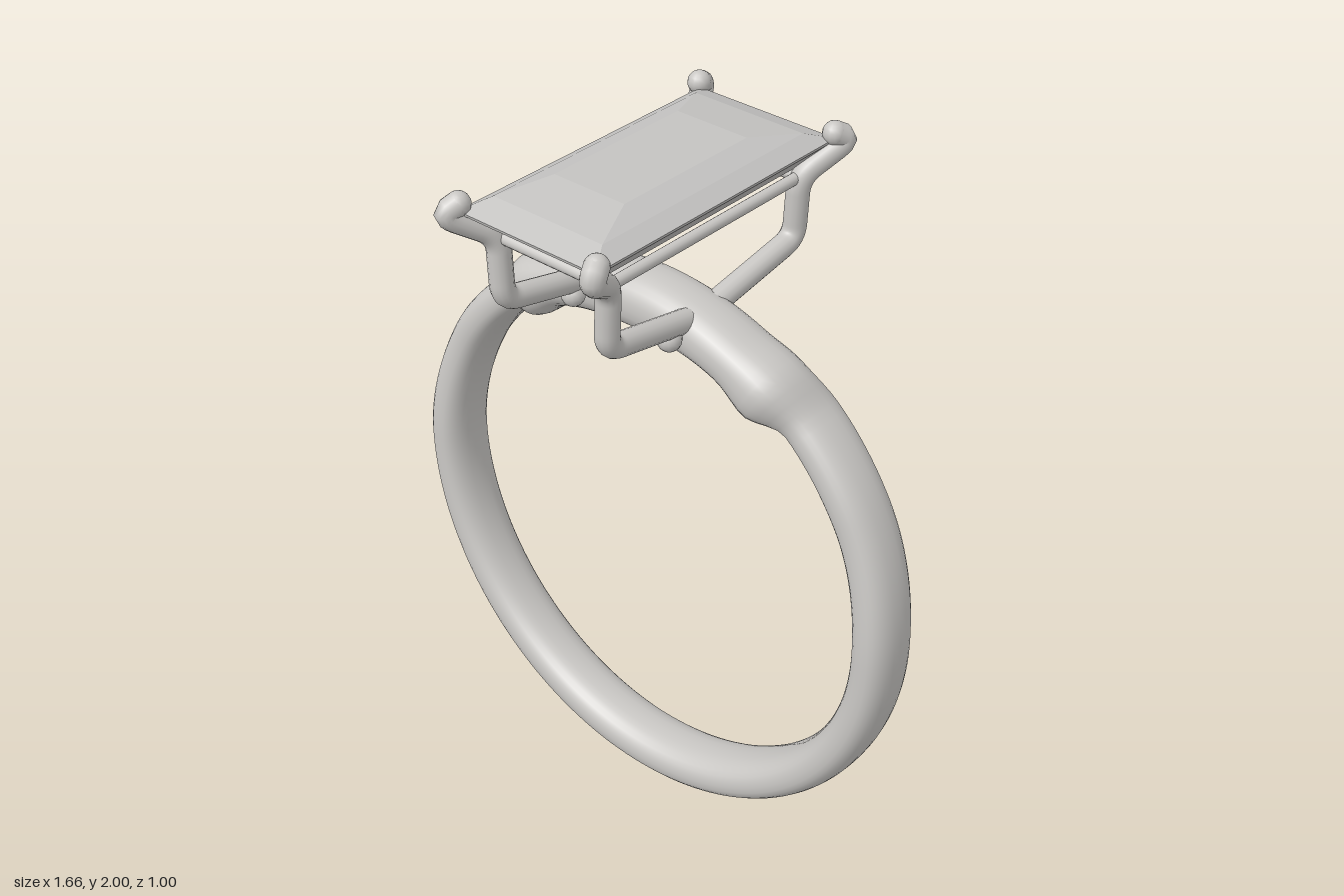
import * as THREE from 'three';

const metal = new THREE.MeshStandardMaterial({ color: 0xc9c7c4 });
metal.name = 'silver metal';
const stone = new THREE.MeshStandardMaterial({ color: 0xc4c3c1 });
stone.name = 'pale stone';

function addMesh(parent, name, geometry, material) {
  const mesh = new THREE.Mesh(geometry, material);
  mesh.name = name;
  parent.add(mesh);
  return mesh;
}

// Band: a rounded section swept round the finger hole.
// Each key: degrees from the top, inner radius, outer radius, back z, front z
const bandKeys = [
  [0, 0.68, 0.84, -0.092, 0.092],
  [22, 0.695, 0.836, -0.095, 0.095],
  [31, 0.675, 0.848, -0.105, 0.1],
  [40, 0.708, 0.82, -0.128, 0.048],
  [60, 0.71, 0.828, -0.118, 0.054],
  [90, 0.71, 0.83, -0.1, 0.076],
  [180, 0.71, 0.84, -0.088, 0.088],
];

function bandSection(deg) {
  let k = 0;
  while (k < bandKeys.length - 2 && deg > bandKeys[k + 1][0]) k++;
  const a = bandKeys[k], b = bandKeys[k + 1];
  const t = THREE.MathUtils.smoothstep(deg, a[0], b[0]);
  return a.map((v, i) => v + (b[i] - v) * t);
}

function bandGeometry() {
  const steps = 180, sides = 28, positions = [], index = [];
  const soft = (v) => Math.sign(v) * Math.abs(v) ** 0.85;
  for (let i = 0; i < steps; i++) {
    const angle = (i / steps) * Math.PI * 2;
    const deg = (i / steps) * 360;
    const [, rIn, rOut, back, front] = bandSection(Math.min(deg, 360 - deg));
    for (let j = 0; j < sides; j++) {
      const phi = (j / sides) * Math.PI * 2;
      const r = (rIn + rOut) / 2 + ((rOut - rIn) / 2) * soft(Math.cos(phi));
      const z = (back + front) / 2 + ((front - back) / 2) * soft(Math.sin(phi));
      positions.push(r * Math.sin(angle), 0.84 + r * Math.cos(angle), z);
      const a = i * sides + j, b = i * sides + ((j + 1) % sides);
      const c = ((i + 1) % steps) * sides + j, d = ((i + 1) % steps) * sides + ((j + 1) % sides);
      index.push(a, b, c, c, b, d);
    }
  }
  const g = new THREE.BufferGeometry();
  g.setAttribute('position', new THREE.Float32BufferAttribute(positions, 3));
  g.setIndex(index);
  g.computeVertexNormals();
  return g;
}

// Gem: nested rectangles from the table down to the point
function gemGeometry() {
  const rings = [ // half width x, half depth z, height
    [0, 0, 1.998], [0.112, 0.225, 1.998], [0.175, 0.37, 1.976], [0.222, 0.445, 1.95],
    [0.22, 0.443, 1.942], [0.16, 0.36, 1.877], [0, 0, 1.74],
  ];
  const corners = [[1, 1], [1, -1], [-1, -1], [-1, 1]];
  const point = (ring, j) => [ring[0] * corners[j % 4][0], ring[2], ring[1] * corners[j % 4][1]];
  const positions = [];
  for (let i = 0; i < rings.length - 1; i++) {
    for (let j = 0; j < 4; j++) {
      const a = point(rings[i], j), c = point(rings[i], j + 1);
      const b = point(rings[i + 1], j), d = point(rings[i + 1], j + 1);
      if (rings[i][0] > 0) positions.push(...a, ...b, ...c);
      if (rings[i + 1][0] > 0) positions.push(...c, ...b, ...d);
    }
  }
  const g = new THREE.BufferGeometry();
  g.setAttribute('position', new THREE.Float32BufferAttribute(positions, 3));
  g.computeVertexNormals();
  return g;
}

// Wire with rounded bends and ball ends
function wire(parent, name, points, radius, bend) {
  const p = points.map((v) => new THREE.Vector3(...v));
  const path = new THREE.CurvePath();
  let from = p[0];
  for (let i = 1; i < p.length - 1; i++) {
    const toward = (q) => p[i].clone().add(q.clone().sub(p[i]).setLength(Math.min(bend, p[i].distanceTo(q) * 0.45)));
    const start = toward(p[i - 1]), end = toward(p[i + 1]);
    path.add(new THREE.LineCurve3(from, start));
    path.add(new THREE.QuadraticBezierCurve3(start, p[i], end));
    from = end;
  }
  path.add(new THREE.LineCurve3(from, p[p.length - 1]));
  addMesh(parent, name, new THREE.TubeGeometry(path, 72, radius, 14, false), metal);
  for (const end of [p[0], p[p.length - 1]]) {
    addMesh(parent, name + 'End', new THREE.SphereGeometry(radius, 14, 10), metal).position.copy(end);
  }
}

export function createModel() {
  const ring = new THREE.Group();
  ring.name = 'ring';
  addMesh(ring, 'band', bandGeometry(), metal);
  addMesh(ring, 'gem', gemGeometry(), stone);

  const setting = new THREE.Group();
  setting.name = 'setting';
  ring.add(setting);

  // Four prongs: arm out of the band, upright, flare and hooked tip
  for (const sx of [1, -1]) {
    for (const sz of [1, -1]) {
      wire(setting, 'prong', [
        [0.162, 1.62, 0.04], [0.172, 1.687, 0.357], [0.18, 1.865, 0.357],
        [0.24, 1.945, 0.478], [0.222, 1.967, 0.44],
      ].map(([x, y, z]) => [x * sx, y, z * sz]), 0.032, 0.045);
    }
    // Small solder bead under each front arm
    addMesh(setting, 'armBead', new THREE.SphereGeometry(0.033, 14, 10), metal)
      .position.set(0.162 * sx, 1.598, 0.12);
  }

  // Rail joining the prongs under the gem
  for (const s of [1, -1]) {
    wire(setting, 'sideRail', [[0.178 * s, 1.862, -0.357], [0.178 * s, 1.862, 0.357]], 0.016, 0);
    wire(setting, 'endRail', [[-0.178, 1.862, 0.357 * s], [0.178, 1.862, 0.357 * s]], 0.016, 0);
  }
  return ring;
}
